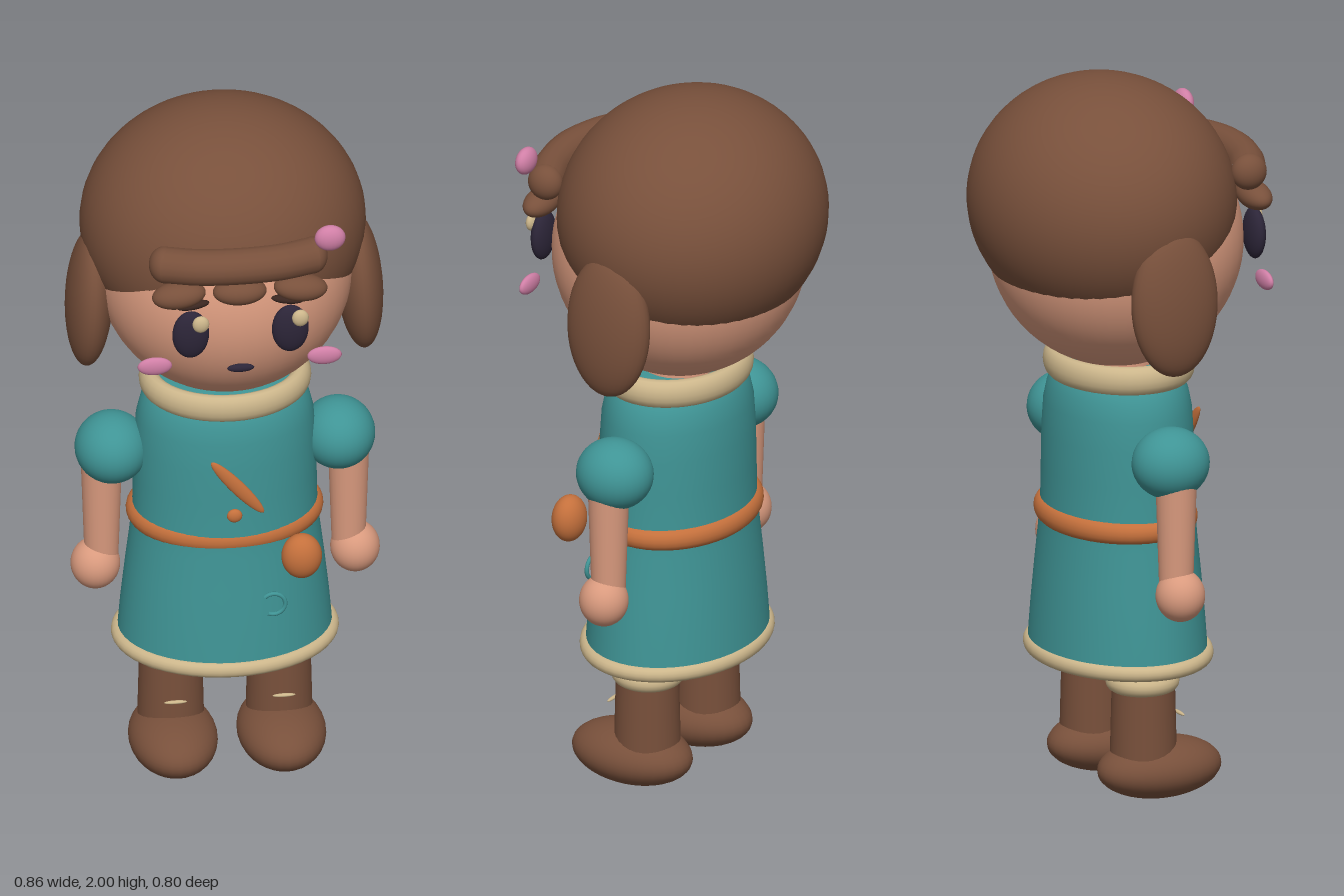
import * as THREE from 'three';

export function createModel() {
  const model = new THREE.Group();
  const mat = (name, color, extra = {}) => {
    const m = new THREE.MeshStandardMaterial({ color, ...extra });
    m.name = name;
    return m;
  };
  const brown = mat('brown', 0x78503b);
  const skin = mat('skin', 0xd99a7e);
  const teal = mat('teal', 0x3f9495, { side: THREE.DoubleSide });
  const cream = mat('cream', 0xccb68b);
  const orange = mat('orange', 0xc4703c);
  const dark = mat('dark', 0x2c2538);
  const browDark = mat('dark brown', 0x3a2620);
  const pink = mat('pink', 0xd07fa6);

  const add = (name, geo, material, pos = [0, 0, 0], rotZ = 0) => {
    const mesh = new THREE.Mesh(geo, material);
    mesh.name = name;
    mesh.position.set(...pos);
    mesh.rotation.z = rotZ;
    model.add(mesh);
    return mesh;
  };
  const ball = (name, material, pos, radii, rotZ = 0, seg = 32) =>
    add(name, new THREE.SphereGeometry(1, seg, seg * 0.75).scale(...radii), material, pos, rotZ);
  // Horizontal ring given by outer half width, outer half depth and height
  const ring = (name, material, pos, rx, rz, h) => {
    const t = Math.min(h / 2, 0.028);
    const geo = new THREE.TorusGeometry(rx - t, t, 16, 48).rotateX(Math.PI / 2);
    return add(name, geo.scale(1, h / 2 / t, rz / rx), material, pos);
  };

  // Head and hair
  ball('head', skin, [0, 1.54, 0], [0.345, 0.345, 0.345], 0, 48);
  ball('hair', brown, [0, 1.658, -0.042], [0.386, 0.342, 0.358], 0, 48);
  const fringePath = new THREE.CatmullRomCurve3([
    [-0.2, 1.738, 0.3], [-0.11, 1.744, 0.334], [0, 1.748, 0.348], [0.11, 1.744, 0.334], [0.2, 1.738, 0.3],
  ].map((p) => new THREE.Vector3(...p)));
  add('fringe', new THREE.TubeGeometry(fringePath, 32, 0.05, 16), brown);
  for (const x of [-0.165, 0, 0.165]) {
    ball('bang', brown, [x, 1.66, 0.333], [0.073, 0.037, 0.043], -x * 0.6);
  }

  // Mirrored head details
  for (const s of [-1, 1]) {
    ball('fringeEnd', brown, [s * 0.2, 1.738, 0.3], [0.042, 0.05, 0.05]);
    ball('sideHair', brown, [s * 0.366, 1.455, -0.011], [0.063, 0.203, 0.127], s * 0.06);
    ball('eyebrow', browDark, [s * 0.128, 1.632, 0.345], [0.045, 0.012, 0.015], -s * 0.15, 16);
    ball('eye', dark, [s * 0.135, 1.543, 0.35], [0.05, 0.072, 0.025], 0, 24);
    ball('eyeHighlight', cream, [s * 0.135 + 0.025, 1.585, 0.37], [0.023, 0.025, 0.014], 0, 16);
    ball('cheek', pink, [s * 0.23, 1.438, 0.332], [0.047, 0.027, 0.014], 0, 20);
  }
  ball('mouth', dark, [0, 1.43, 0.355], [0.037, 0.012, 0.01], 0, 16);
  ball('flower', pink, [0.245, 1.81, 0.333], [0.042, 0.038, 0.024], 0, 20);

  // Tunic with an open skirt
  const profile = [
    [0.291, 0.395], [0.282, 0.5], [0.269, 0.62], [0.257, 0.72], [0.25, 0.8], [0.248, 0.9],
    [0.246, 1.0], [0.24, 1.08], [0.228, 1.13], [0.208, 1.165], [0.17, 1.2], [0, 1.2],
  ].map(([x, y]) => new THREE.Vector2(x, y));
  add('tunic', new THREE.LatheGeometry(profile, 48).scale(1, 1, 0.785), teal, [0, 0, 0.006]);
  add('neck', new THREE.CylinderGeometry(0.1, 0.11, 0.16, 24), skin, [0, 1.22, 0]);
  ring('collar', cream, [0, 1.195, 0.01], 0.233, 0.197, 0.08);
  ring('belt', orange, [0, 0.777, 0], 0.267, 0.207, 0.062);
  ring('hem', cream, [0, 0.395, 0.008], 0.308, 0.241, 0.044);

  // Tunic ornaments
  ball('pouch', orange, [0.18, 0.746, 0.237], [0.055, 0.066, 0.045]);
  ball('chestLeaf', orange, [0.008, 0.966, 0.222], [0.02, 0.11, 0.011], 0.7, 20);
  ball('chestBead', orange, [0, 0.877, 0.222], [0.021, 0.02, 0.012], 0, 16);
  add('skirtSwirl', new THREE.TorusGeometry(0.032, 0.006, 8, 24, Math.PI * 1.4), teal, [0.107, 0.58, 0.208], -Math.PI * 0.65);

  for (const s of [-1, 1]) {
    // Arms
    ball('sleeve', teal, [s * 0.307, 0.988, 0.008], [0.1, 0.098, 0.107]);
    add('arm', new THREE.CylinderGeometry(0.056, 0.046, 0.3, 24), skin, [s * 0.335, 0.8, 0.01]);
    ball('wrist', skin, [s * 0.335, 0.652, 0.01], [0.046, 0.03, 0.046], 0, 20);
    ball('hand', skin, [s * 0.352, 0.627, 0.014], [0.067, 0.072, 0.067]);

    // Legs and boots
    const x = s * 0.147;
    add('leg', new THREE.CylinderGeometry(0.068, 0.062, 0.4, 24), skin, [x, 0.5, 0.005]);
    add('bootShaft', new THREE.CylinderGeometry(0.085, 0.091, 0.24, 28), brown, [x, 0.22, 0.008]);
    ball('bootFoot', brown, [x, 0.088, 0.056], [0.12, 0.083, 0.178]);
    ring('bootCuff', cream, [x, 0.337, 0.005], 0.1, 0.1, 0.055);
    ball('bootLace', cream, [x, 0.23, 0.116], [0.032, 0.005, 0.006], 0, 12);
  }

  return model;
}
